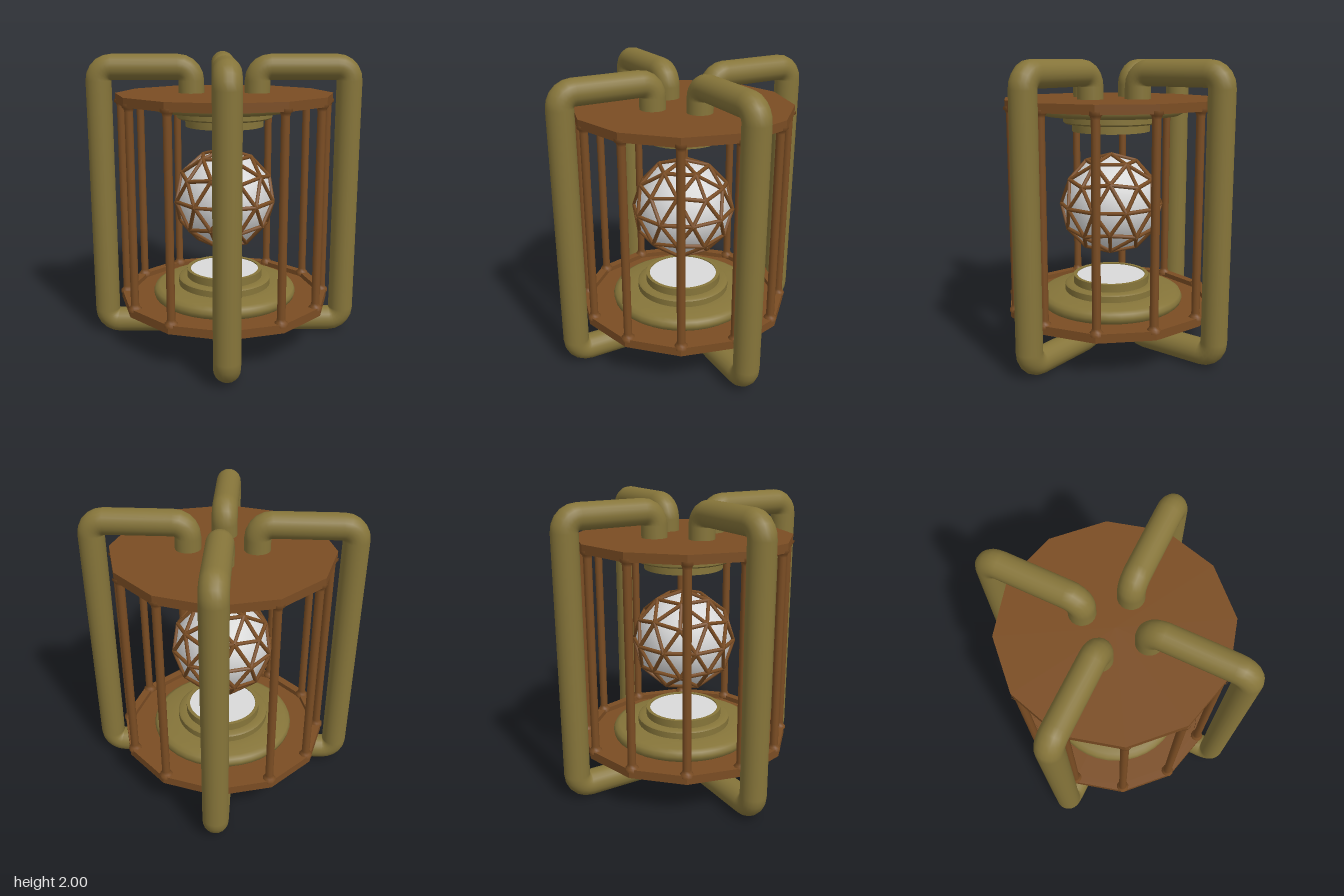
import * as THREE from 'three';
import { mergeGeometries, toCreasedNormals } from 'three/addons/utils/BufferGeometryUtils.js';

const brown = new THREE.MeshStandardMaterial({ color: 0x7b4d23 });
brown.name = 'brown metal';
const olive = new THREE.MeshStandardMaterial({ color: 0x86753a });
olive.name = 'olive brass';
const white = new THREE.MeshStandardMaterial({ color: 0xdadada });
white.name = 'pale glass';

function add(parent, name, geometry, material) {
  const mesh = new THREE.Mesh(geometry, material);
  mesh.name = name;
  parent.add(mesh);
  return mesh;
}

// Cylinder running between two points
function rod(a, b, radius, sides) {
  const dir = b.clone().sub(a);
  const g = new THREE.CylinderGeometry(radius, radius, dir.length(), sides, 1);
  g.applyQuaternion(new THREE.Quaternion().setFromUnitVectors(new THREE.Vector3(0, 1, 0), dir.normalize()));
  return g.translate((a.x + b.x) / 2, (a.y + b.y) / 2, (a.z + b.z) / 2);
}

function polygon(Type, radius) {
  const p = new Type();
  for (let i = 0; i < 12; i++) {
    const a = (i * Math.PI) / 6;
    p[i ? 'lineTo' : 'moveTo'](radius * Math.cos(a), radius * Math.sin(a));
  }
  p.closePath();
  return p;
}

// Bent pipe: leaves the lid, runs outward, down the side and back into the base
function pipeGeometry() {
  const r = 0.0875, inX = 0.225, outX = 0.853, top = 1.9125, low = 0.0875, bend = 0.09;
  const v = (x, y) => new THREE.Vector3(x, y, 0);
  const parts = [
    rod(v(inX, 1.72), v(inX, top - bend), r, 20),
    rod(v(inX + bend, top), v(outX - bend, top), r, 20),
    rod(v(outX, low + bend), v(outX, top - bend), r, 20),
    rod(v(inX + bend, low), v(outX - bend, low), r, 20),
    rod(v(inX, low + bend), v(inX, 0.28), r, 20),
  ];
  const corners = [[outX, top, 0], [inX, top, 1], [inX, low, 2], [outX, low, 3]];
  for (const [x, y, q] of corners) {
    const sx = x === inX ? 1 : -1, sy = y === top ? -1 : 1;
    parts.push(new THREE.TorusGeometry(bend, r, 20, 5, Math.PI / 2)
      .rotateZ((q * Math.PI) / 2)
      .translate(x + sx * bend, y + sy * bend, 0));
  }
  return mergeGeometries(parts);
}

// One end of the cage, modelled as the base
function cageEnd(name) {
  const end = new THREE.Group();
  end.name = name;
  add(end, 'endPlate', new THREE.CylinderGeometry(0.745, 0.745, 0.025, 12).toNonIndexed()
    .translate(0, 0.2725, 0), brown).geometry.computeVertexNormals();

  const ring = polygon(THREE.Shape, 0.745);
  ring.holes.push(polygon(THREE.Path, 0.685));
  add(end, 'rim', new THREE.ExtrudeGeometry(ring, { depth: 0.04, bevelEnabled: false })
    .rotateX(-Math.PI / 2).translate(0, 0.28, 0), brown);

  // Stepped round pedestal
  const profile = [
    [0.48, 0.28], [0.505, 0.3], [0.512, 0.33], [0.5, 0.357], [0.47, 0.372], [0.4, 0.372],
    [0.385, 0.376], [0.33, 0.376], [0.33, 0.42], [0.318, 0.43], [0.27, 0.43],
    [0.27, 0.485], [0.245, 0.485], [0.245, 0.465],
  ].map(([x, y]) => new THREE.Vector2(x, y));
  add(end, 'pedestal', toCreasedNormals(new THREE.LatheGeometry(profile, 40), 0.7), olive);
  add(end, 'lightDisc', new THREE.CylinderGeometry(0.246, 0.246, 0.008, 40).translate(0, 0.474, 0), white);
  return end;
}

// Faceted globe with a strut along every edge
function globe() {
  const group = new THREE.Group();
  group.name = 'globe';
  const tilt = Math.atan(1 / ((1 + Math.sqrt(5)) / 2)) - Math.PI / 2;
  const ball = (radius) => new THREE.IcosahedronGeometry(radius, 1).rotateX(tilt).rotateY(Math.PI / 2);
  add(group, 'globePanels', ball(0.345), white);

  const p = new THREE.EdgesGeometry(ball(0.351), 1).attributes.position;
  const struts = [];
  for (let i = 0; i < p.count; i += 2) {
    const a = new THREE.Vector3().fromBufferAttribute(p, i);
    const b = new THREE.Vector3().fromBufferAttribute(p, i + 1);
    struts.push(rod(a, b, 0.014, 6));
  }
  add(group, 'globeStruts', mergeGeometries(struts), brown);
  group.position.y = 1;
  return group;
}

export function createModel() {
  const model = new THREE.Group();
  model.name = 'cagedLantern';

  const base = cageEnd('base');
  const lid = cageEnd('lid');
  lid.rotation.x = Math.PI;
  lid.position.y = 2;
  model.add(base, lid, globe());

  // Twelve posts, flared where they meet the rims
  const postProfile = [
    [0.045, 0.3], [0.045, 0.32], [0.033, 0.33], [0.028, 0.35],
    [0.028, 1.65], [0.033, 1.67], [0.045, 1.68], [0.045, 1.7],
  ].map(([x, y]) => new THREE.Vector2(x, y));
  const post = new THREE.LatheGeometry(postProfile, 10);
  for (let i = 0; i < 12; i++) {
    const a = (i * Math.PI) / 6;
    add(model, 'post', post, brown).position.set(0.708 * Math.cos(a), 0, 0.708 * Math.sin(a));
  }

  // Four outer pipes
  const pipe = pipeGeometry();
  for (let i = 0; i < 4; i++) add(model, 'pipe', pipe, olive).rotation.y = (i * Math.PI) / 2;

  return model;
}
